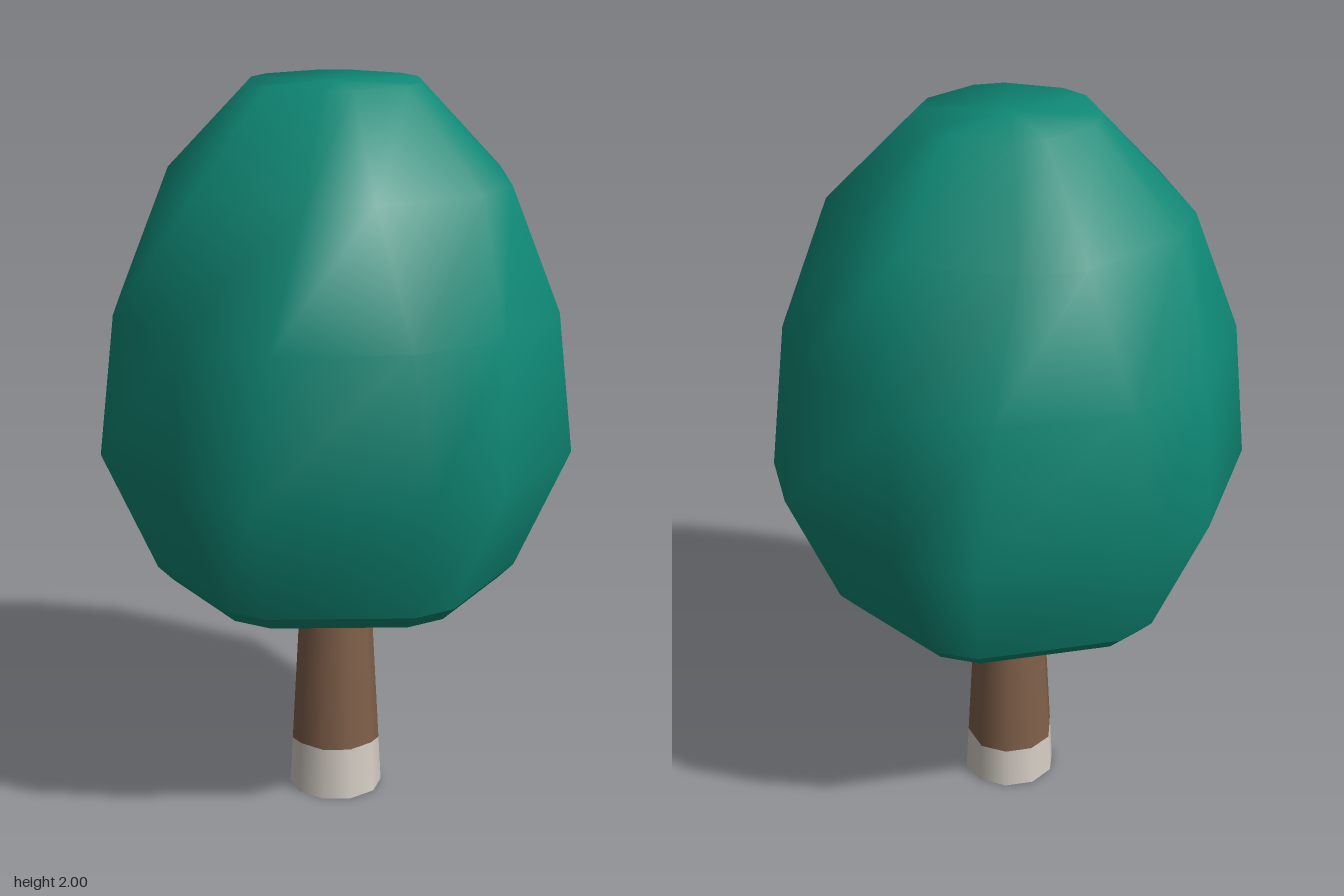
import * as THREE from 'three';

const foliage = new THREE.MeshStandardMaterial({ color: 0x0f8976 });
foliage.name = 'foliage green';
const bark = new THREE.MeshStandardMaterial({ color: 0x80604a, side: THREE.DoubleSide });
bark.name = 'bark brown';
const paint = new THREE.MeshStandardMaterial({ color: 0xd5cec5, side: THREE.DoubleSide });
paint.name = 'whitewash';

// Crown cross-sections: height, distance to a cut corner, half width of the cut
const RINGS = [
  [0.64, 0.45, 0.055], [0.68, 0.49, 0.062], [1.02, 0.632, 0.11],
  [1.41, 0.585, 0.136], [1.75, 0.45, 0.16], [2.0, 0.22, 0.08],
];

// Hexagon with cut corners, twelve points
function ringPoints([y, a, w]) {
  const pts = [];
  for (let k = 0; k < 6; k++) {
    const c = Math.cos(k * Math.PI / 3), s = Math.sin(k * Math.PI / 3);
    for (const t of [-w, w]) pts.push(a * c - t * s, y, a * s + t * c);
  }
  return pts;
}

// Skin stacked rings, optionally closing the top or bottom with a fan
function loft(rings, closeTop, closeBottom) {
  const n = 12, pos = rings.flatMap(ringPoints), idx = [];
  const last = (rings.length - 1) * n;
  for (let i = 0; i < rings.length - 1; i++) {
    for (let j = 0; j < n; j++) {
      const a = i * n + j, b = i * n + (j + 1) % n;
      idx.push(a, a + n, b, b, a + n, b + n);
    }
  }
  const fan = (start, y, up) => {
    const centre = pos.length / 3;
    pos.push(0, y, 0);
    for (let j = 0; j < n; j++) {
      const a = start + j, b = start + (j + 1) % n;
      idx.push(centre, up ? b : a, up ? a : b);
    }
  };
  if (closeTop) fan(last, rings[rings.length - 1][0], true);
  if (closeBottom) fan(0, rings[0][0], false);
  const g = new THREE.BufferGeometry();
  g.setAttribute('position', new THREE.Float32BufferAttribute(pos, 3));
  g.setIndex(idx);
  g.computeVertexNormals();
  return g;
}

// Open, tapered trunk section whose ends follow height functions of the angle
function trunkSection(bottom, top) {
  const g = new THREE.CylinderGeometry(1, 1, 1, 10, 1, true, Math.PI / 2);
  const p = g.attributes.position, nor = g.attributes.normal;
  for (let i = 0; i < p.count; i++) {
    const x = p.getX(i), z = p.getZ(i);
    const y = p.getY(i) > 0 ? top(z) : bottom(z);
    const r = 0.13 - 0.054 * y;
    p.setXYZ(i, x * r, y, z * r);
    nor.setXYZ(i, x, 0.054, z);
  }
  nor.needsUpdate = true;
  g.normalizeNormals();
  return g;
}

export function createModel() {
  const tree = new THREE.Group();
  tree.name = 'tree';
  const add = (name, geometry, material) => {
    const m = new THREE.Mesh(geometry, material);
    m.name = name;
    tree.add(m);
  };

  // Smooth crown with a crisp underside
  add('crown', loft(RINGS.slice(1), true, false), foliage);
  const under = loft(RINGS.slice(0, 2), false, true).toNonIndexed();
  under.computeVertexNormals();
  add('crownUnderside', under, foliage);

  // Trunk with an uneven painted foot, higher at the front
  const paintLine = (z) => 0.132 + 0.02 * z + 0.006 * Math.sin(4 * z);
  add('paintedFoot', trunkSection(() => 0, paintLine), paint);
  add('trunk', trunkSection(paintLine, () => 0.66), bark);

  return tree;
}
